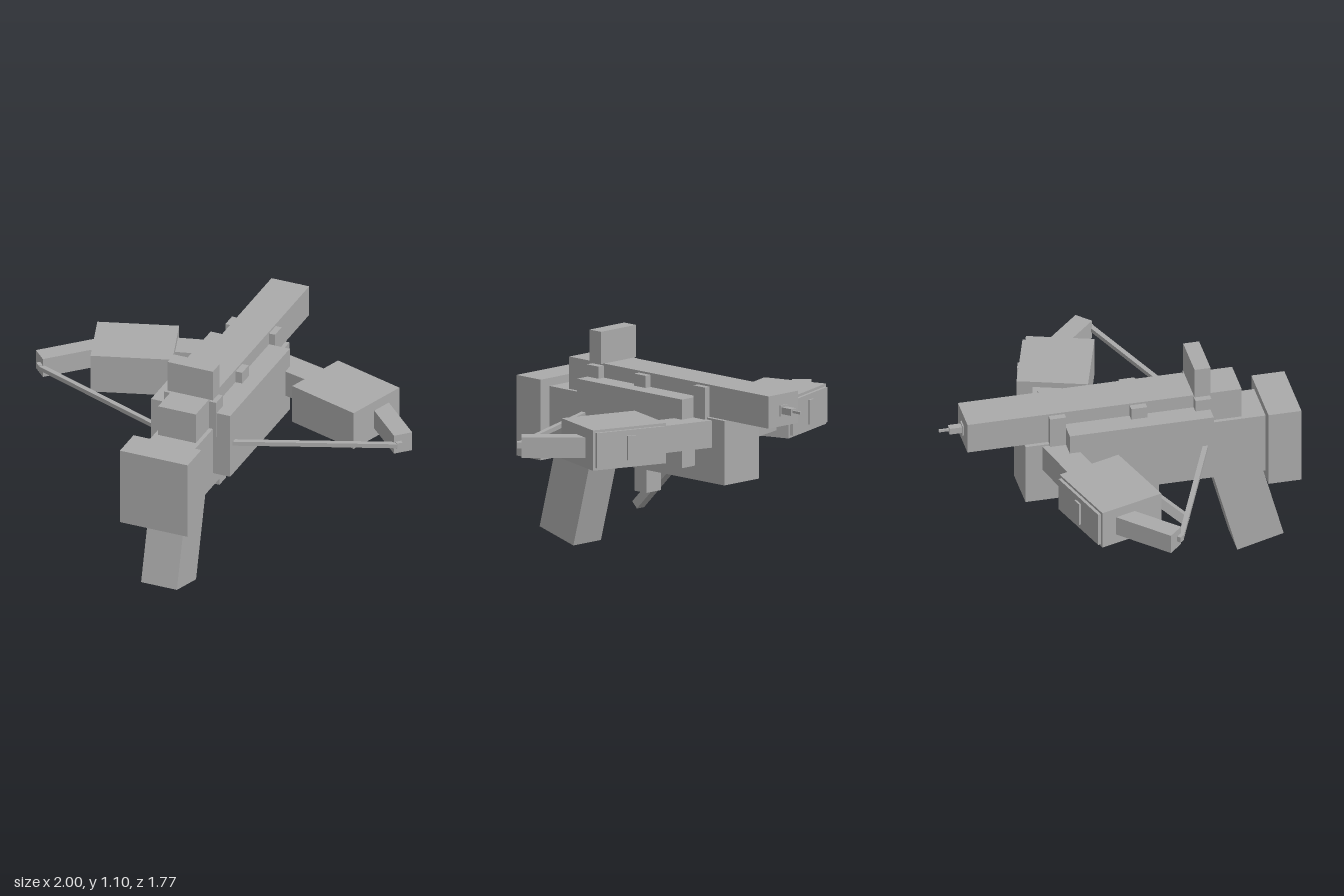
import * as THREE from 'three';

export function createModel() {
  const root = new THREE.Group();
  root.name = 'crossbow';
  const grey = new THREE.MeshStandardMaterial({ color: 0xaaaaaa });
  grey.name = 'plain grey';
  const rad = THREE.MathUtils.degToRad;

  // Box from its size and centre
  function box(name, size, pos, parent = root) {
    const m = new THREE.Mesh(new THREE.BoxGeometry(...size), grey);
    m.name = name;
    m.position.set(...pos);
    parent.add(m);
    return m;
  }
  // Box from its half width and its y and z ranges
  const span = (name, hx, y0, y1, z0, z1) =>
    box(name, [hx * 2, y1 - y0, z1 - z0], [0, (y0 + y1) / 2, (z0 + z1) / 2]);

  // Stock and barrel
  span('buttPlate', 0.18, 0.42, 0.82, 0.72, 0.885);
  span('body', 0.12, 0.46, 0.78, -0.48, 0.73);
  span('sidePanels', 0.21, 0.53, 0.87, -0.28, 0.44);
  span('barrel', 0.1, 0.78, 0.94, -0.765, 0.605);
  span('rearSight', 0.12, 0.94, 1.1, 0.365, 0.445);

  // Bands around the barrel
  for (const [z, hx] of [[0.405, 0.138], [0.085, 0.135], [-0.32, 0.132]]) {
    span('barrelBand', hx, 0.74, 0.93, z - 0.04, z + 0.04);
  }

  // Bolt tip
  span('tipCollar', 0.025, 0.83, 0.885, -0.772, -0.76);
  span('tipShaft', 0.018, 0.842, 0.875, -0.835, -0.77);
  span('tipPoint', 0.005, 0.854, 0.866, -0.885, -0.83);

  // Grip, trigger block and lever
  box('grip', [0.19, 0.6, 0.24], [-0.003, 0.325, 0.622]).rotation.x = rad(-15);
  span('triggerBlock', 0.05, 0.325, 0.48, 0.125, 0.205);
  box('triggerLever', [0.05, 0.36, 0.045], [-0.095, 0.347, 0.198]).rotation.x = rad(-45);

  // Bow arms, mirrored left and right
  for (const s of [1, -1]) {
    const arm = new THREE.Group();
    arm.name = s > 0 ? 'leftArm' : 'rightArm';
    root.add(arm);

    box('innerLimb', [0.42, 0.135, 0.14], [s * 0.25, 0.703, -0.288], arm).rotation.y = rad(-15 * s);
    box('outerLimb', [0.4, 0.1, 0.095], [s * 0.824, 0.7, -0.071], arm).rotation.y = rad(-45 * s);

    // Housing with a cover plate and latch on its far side
    const housing = new THREE.Group();
    housing.name = 'limbHousing';
    housing.position.set(s * 0.5625, 0.7, -0.168);
    housing.rotation.y = rad(-18 * s);
    arm.add(housing);
    box('housingBlock', [0.4, 0.2, 0.335], [0, 0, 0.008], housing);
    box('coverPlate', [0.37, 0.175, 0.016], [0, 0, -0.167], housing);
    box('latch', [0.045, 0.12, 0.012], [0, 0, -0.179], housing);

    // Bowstring and its end knot
    const dx = 0.81, dz = -0.325;
    box('bowstring', [Math.hypot(dx, dz), 0.022, 0.025], [s * 0.545, 0.7, 0.2625], arm)
      .rotation.y = s * Math.atan2(-dz, dx);
    box('stringKnot', [0.035, 0.03, 0.03], [s * 0.95, 0.7, 0.09], arm).rotation.y = rad(-45 * s);
  }
  return root;
}
